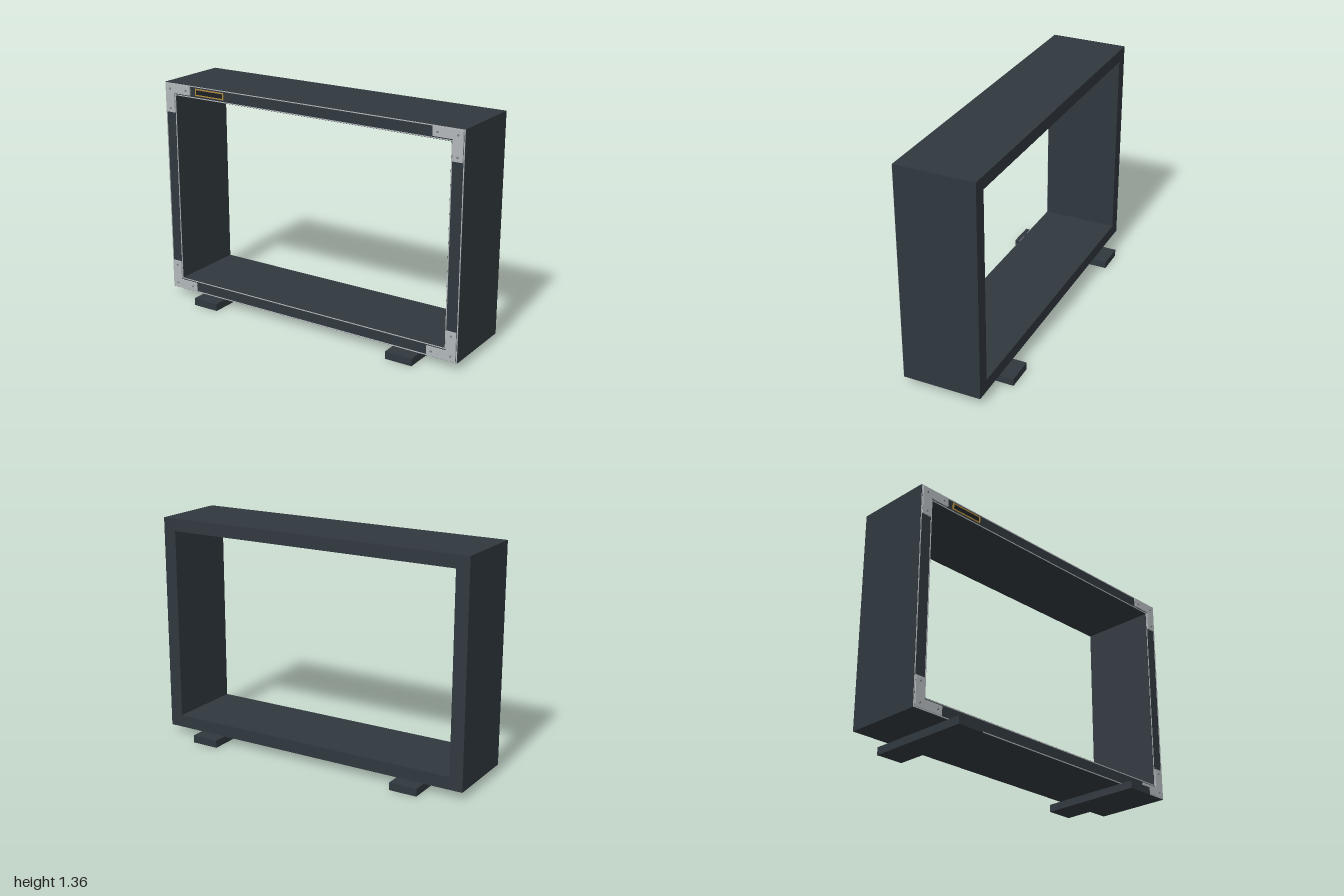
import * as THREE from 'three';

const mat = (name, color) => {
  const m = new THREE.MeshStandardMaterial({ color });
  m.name = name;
  return m;
};

export function createModel() {
  const model = new THREE.Group();
  model.name = 'openShelfFrame';
  const panel = mat('charcoal panel', 0x30383e);
  const steel = mat('light steel', 0xb2b7ba);
  const screwMat = mat('screw grey', 0x7f858a);
  const brass = mat('brass', 0xb08a3c);
  const black = mat('plate black', 0x1c2024);

  // Box given by its minimum and maximum corners
  const box = (name, m, x0, x1, y0, y1, z0, z1, parent = model) => {
    const mesh = new THREE.Mesh(new THREE.BoxGeometry(x1 - x0, y1 - y0, z1 - z0), m);
    mesh.position.set((x0 + x1) / 2, (y0 + y1) / 2, (z0 + z1) / 2);
    mesh.name = name;
    parent.add(mesh);
    return mesh;
  };

  // Flat rectangular ring on the front
  const ring = (name, m, x0, x1, y0, y1, w, z, depth) => {
    const rect = (s, a, b, c, d) => s.moveTo(a, c).lineTo(b, c).lineTo(b, d).lineTo(a, d).closePath();
    const shape = rect(new THREE.Shape(), x0, x1, y0, y1);
    shape.holes.push(rect(new THREE.Path(), x0 + w, x1 - w, y0 + w, y1 - w));
    const mesh = new THREE.Mesh(new THREE.ExtrudeGeometry(shape, { depth, bevelEnabled: false }), m);
    mesh.position.z = z;
    mesh.name = name;
    model.add(mesh);
  };

  const bottom = 0.045, top = 1.355, face = 0.235, wall = 0.08, inner = 1 - wall;

  // Full-height sides with the top and bottom fitted between them
  for (const [side, s] of [['left', 1], ['right', -1]]) {
    const c = s * (1 - wall / 2);
    box(side + 'Panel', panel, c - wall / 2, c + wall / 2, bottom, top, -face, face);
    const f = s * 0.68;
    box(side + 'Foot', panel, f - 0.085, f + 0.085, 0, bottom, -0.32, 0.32);
  }
  box('topPanel', panel, -inner, inner, top - 0.075, top, -face, face);
  box('bottomPanel', panel, -inner, inner, bottom, bottom + 0.075, -face, face);

  // Fine metal edging around the outside and the opening
  ring('outerTrim', steel, -0.998, 0.998, bottom + 0.002, top - 0.002, 0.005, face, 0.003);
  ring('innerTrim', steel, -inner - 0.007, inner + 0.007, bottom + 0.068, top - 0.068, 0.005, face, 0.003);

  // L-shaped corner brackets with screws
  const midY = (bottom + top) / 2, cornerX = 0.99, cornerY = (top - bottom) / 2 - 0.007;
  for (const sx of [-1, 1]) for (const sy of [-1, 1]) {
    const bracket = new THREE.Group();
    bracket.name = 'cornerBracket';
    const pts = [[0, 0], [0.18, 0], [0.18, 0.054], [0.06, 0.054], [0.06, 0.172], [0, 0.172]]
      .map(([x, y]) => new THREE.Vector2(sx * (cornerX - x), sy * (cornerY - y)));
    const plate = new THREE.Mesh(
      new THREE.ExtrudeGeometry(new THREE.Shape(pts), { depth: 0.007, bevelEnabled: false }), steel);
    plate.name = 'bracketPlate';
    plate.position.z = face;
    bracket.add(plate);
    for (const [x, y] of [[0.03, 0.028], [0.15, 0.028], [0.03, 0.147]]) {
      const screw = new THREE.Mesh(new THREE.CylinderGeometry(0.005, 0.007, 0.006, 12), screwMat);
      screw.name = 'screw';
      screw.rotation.x = Math.PI / 2;
      screw.position.set(sx * (cornerX - x), sy * (cornerY - y), face + 0.0095);
      bracket.add(screw);
    }
    bracket.position.y = midY;
    model.add(bracket);
  }

  // Small blank plate with a brass border
  box('namePlate', black, -0.764, -0.571, 1.304, 1.334, face, face + 0.003);
  ring('namePlateBorder', brass, -0.771, -0.564, 1.298, 1.34, 0.007, face, 0.005);

  return model;
}
